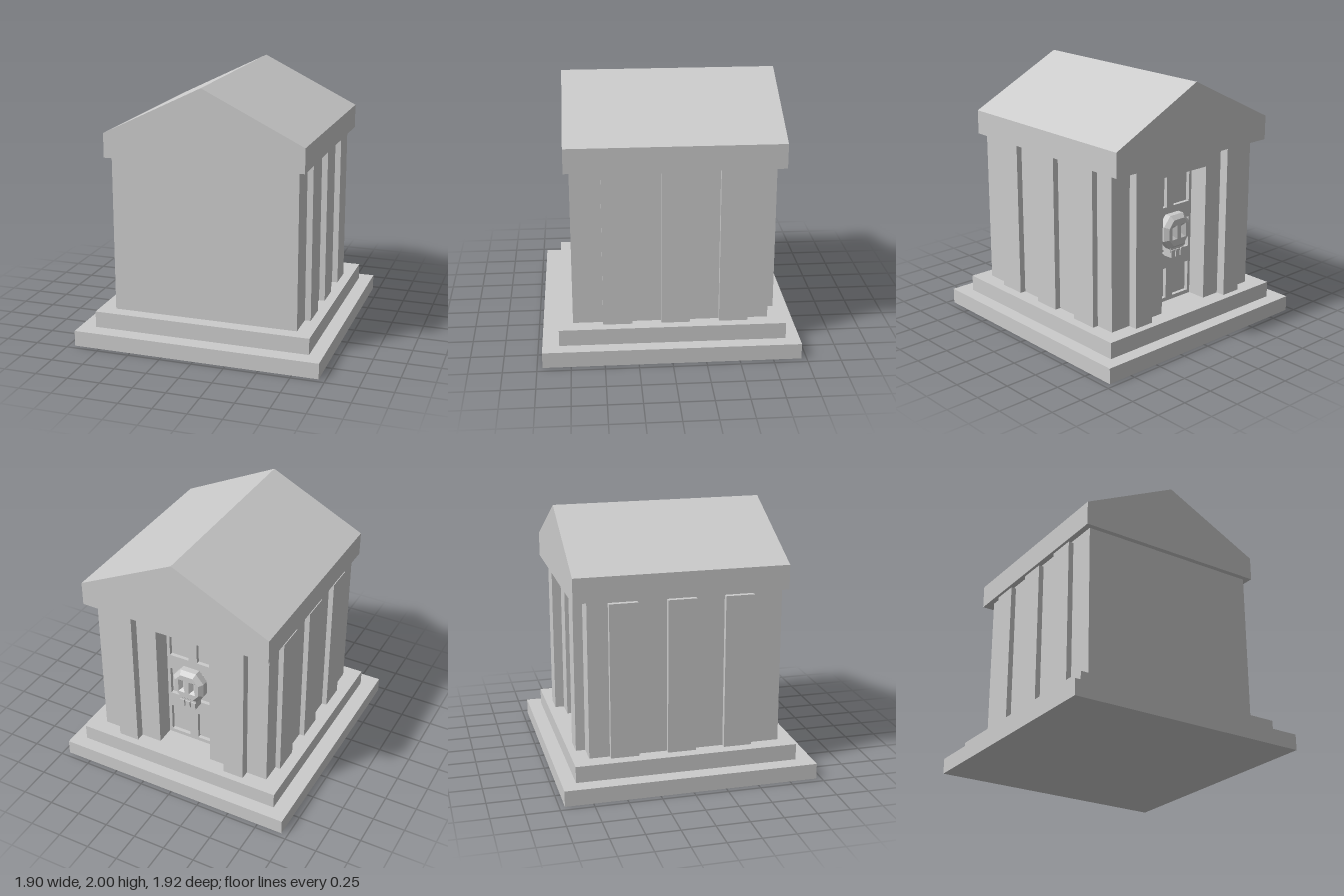
import * as THREE from 'three';

const material = new THREE.MeshStandardMaterial({ color: 0xcccccc, flatShading: true });

export function createModel() {
  const model = new THREE.Group();

  const add = (name, geometry) => {
    const mesh = new THREE.Mesh(geometry, material);
    mesh.name = name;
    model.add(mesh);
    return mesh;
  };

  // Box given by its limits on each axis
  const block = (name, x0, x1, y0, y1, z0, z1) =>
    add(name, new THREE.BoxGeometry(x1 - x0, y1 - y0, z1 - z0))
      .position.set((x0 + x1) / 2, (y0 + y1) / 2, (z0 + z1) / 2);

  const outline = (points) => new THREE.Shape(points.map(([x, y]) => new THREE.Vector2(x, y)));
  const rect = (x0, x1, y0, y1) => outline([[x0, y0], [x1, y0], [x1, y1], [x0, y1]]);

  // Flat shape extruded between two depths
  const slab = (name, shape, z0, z1) => {
    const geometry = new THREE.ExtrudeGeometry(shape, { depth: z1 - z0, bevelEnabled: false });
    geometry.translate(0, 0, z0);
    return add(name, geometry);
  };

  // Stepped base
  block('lowerStep', -0.95, 0.95, 0, 0.12, -0.96, 0.96);
  block('upperStep', -0.83, 0.845, 0.12, 0.245, -0.855, 0.835);

  // Walls, with the doorway cut through the rear one
  const floor = 0.245, top = 1.44;
  block('chamber', -0.705, 0.725, floor, top, -0.55, 0.73);
  slab('doorWall', outline([
    [-0.705, floor], [-0.22, floor], [-0.22, 1.305], [0.225, 1.305],
    [0.225, floor], [0.725, floor], [0.725, top], [-0.705, top],
  ]), -0.73, -0.55);

  // Pilasters along both sides
  for (const z of [0.398, -0.035, -0.468]) {
    block('leftPilaster', 0.7, 0.77, floor, top, z - 0.108, z + 0.108);
    block('rightPilaster', -0.745, -0.69, floor, 1.42, z - 0.108, z + 0.108);
  }

  // Pilasters flanking the door
  for (const x of [0.472, -0.457]) block('doorPilaster', x - 0.082, x + 0.082, floor, top, -0.8, -0.72);

  // Door with two columns of sunken panels
  const door = rect(-0.22, 0.225, floor, 1.305);
  for (const y of [0.275, 0.64, 1.005]) {
    door.holes.push(rect(0.038, 0.2, y, y + 0.24), rect(-0.195, -0.033, y, y + 0.24));
  }
  slab('door', door, -0.58, -0.549);

  // Skull ornament: bevelled octagon with eye slots, cheek block and teeth
  const skull = outline([
    [-0.055, -0.1], [0.055, -0.1], [0.105, -0.04], [0.105, 0.055],
    [0.055, 0.115], [-0.055, 0.115], [-0.105, 0.055], [-0.105, -0.04],
  ]);
  for (const x of [-0.045, 0.045]) skull.holes.push(rect(x - 0.022, x + 0.022, -0.04, 0.06));
  const skullGeometry = new THREE.ExtrudeGeometry(skull, {
    depth: 0.05, bevelThickness: 0.03, bevelSize: 0.03, bevelOffset: -0.005, bevelSegments: 1,
  });
  const skullMesh = add('skull', skullGeometry);
  skullMesh.rotation.y = Math.PI;
  skullMesh.position.set(0.003, 0.82, -0.6);
  block('skullBack', -0.09, 0.095, 0.75, 0.91, -0.62, -0.57);
  block('jaw', -0.065, 0.07, 0.67, 0.73, -0.66, -0.57);
  for (const x of [-0.045, 0.003, 0.051]) block('tooth', x - 0.018, x + 0.018, 0.63, 0.69, -0.67, -0.58);

  // Gabled roof
  slab('roof', outline([[-0.75, top], [0.775, top], [0.775, 1.625], [0.01, 2], [-0.75, 1.625]]), -0.835, 0.77);

  return model;
}
